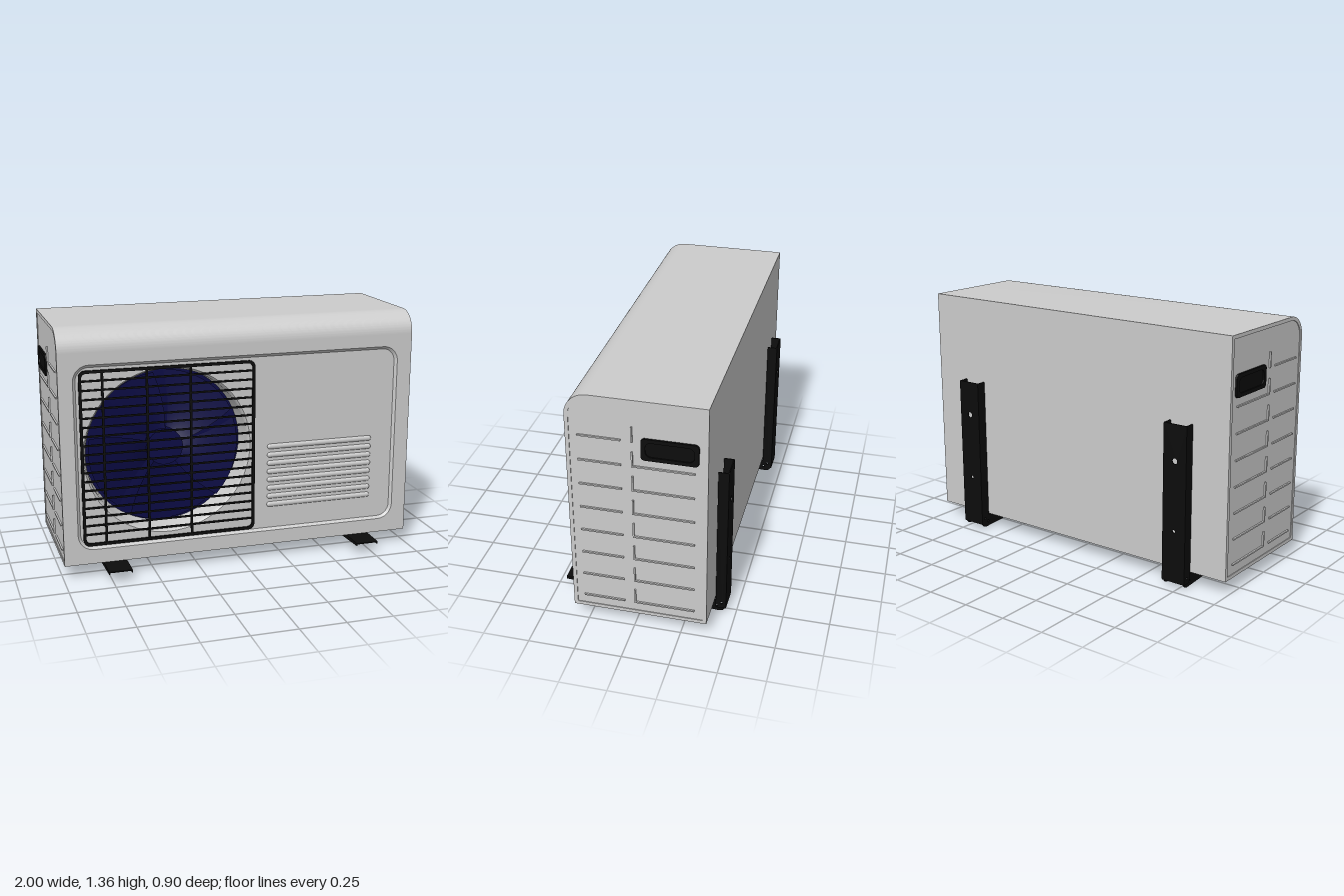
import * as THREE from 'three';
import { toCreasedNormals } from 'three/addons/utils/BufferGeometryUtils.js';

const paint = (name, color) => new THREE.MeshStandardMaterial({ name, color, side: THREE.DoubleSide });

// Rounded rectangle outline, as a Shape or Path
function roundRect(x0, y0, x1, y1, r, Type = THREE.Shape) {
  const s = new Type();
  s.absarc(x1 - r, y1 - r, r, 0, Math.PI / 2);
  s.absarc(x0 + r, y1 - r, r, Math.PI / 2, Math.PI);
  s.absarc(x0 + r, y0 + r, r, Math.PI, Math.PI * 1.5);
  s.absarc(x1 - r, y0 + r, r, Math.PI * 1.5, Math.PI * 2);
  s.closePath();
  return s;
}

const circle = (x, y, r) => new THREE.Path().absarc(x, y, r, 0, Math.PI * 2);

// Extrude along z from z0 by depth
function slab(shape, depth, z0 = 0, curveSegments = 8) {
  return new THREE.ExtrudeGeometry(shape, { depth, bevelEnabled: false, curveSegments }).translate(0, 0, z0);
}

// Extrude a (z, y) outline along x, centred on x
function sideSlab(shape, width, x = 0) {
  const g = slab(shape, width, -width / 2, 16).rotateY(-Math.PI / 2).translate(x, 0, 0);
  return toCreasedNormals(g, 0.5);
}

// Slanted band between two outlines with the same number of points
function bevelBand(outer, zo, inner, zi) {
  const a = outer.getPoints(8), b = inner.getPoints(8), pos = [], idx = [];
  a.forEach((p, i) => {
    pos.push(p.x, p.y, zo, b[i].x, b[i].y, zi);
    const j = (i + 1) % a.length;
    idx.push(2 * i, 2 * j, 2 * i + 1, 2 * j, 2 * j + 1, 2 * i + 1);
  });
  const g = new THREE.BufferGeometry();
  g.setAttribute('position', new THREE.Float32BufferAttribute(pos, 3));
  g.setIndex(idx);
  return toCreasedNormals(g, 0.6);
}

export function createModel() {
  const root = new THREE.Group();
  root.name = 'outdoorAirConditioner';
  const grey = paint('casingGrey', 0xcccccc);
  const black = paint('black', 0x0c0c0c);
  const blue = paint('fanBlue', 0x0b0b46);

  function group(name, parent = root) {
    const g = new THREE.Group();
    g.name = name;
    parent.add(g);
    return g;
  }
  function add(parent, name, geo, mat) {
    const m = new THREE.Mesh(geo, mat);
    m.name = name;
    parent.add(m);
    return m;
  }
  function box(parent, name, mat, x0, x1, y0, y1, z0, z1) {
    const g = new THREE.BoxGeometry(x1 - x0, y1 - y0, z1 - z0);
    return add(parent, name, g.translate((x0 + x1) / 2, (y0 + y1) / 2, (z0 + z1) / 2), mat);
  }

  // Casing: wrapped sheet with a rounded top front edge
  const W = 0.993, front = 0.33, back = -0.385, low = 0.08, high = 1.36, R = 0.12, T = 0.02;
  const casing = group('casing');
  const wrap = new THREE.Shape();
  wrap.absarc(front - R, high - R, R, 0, Math.PI / 2);
  wrap.lineTo(back, high).lineTo(back, low).lineTo(front, low).lineTo(front, low + T);
  wrap.lineTo(back + T, low + T).lineTo(back + T, high - T);
  wrap.absarc(front - R, high - R, R - T, Math.PI / 2, 0, true);
  wrap.closePath();
  add(casing, 'cover', sideSlab(wrap, 2 * W), grey);

  const side = new THREE.Shape();
  side.absarc(front - R, high - R, R - 0.005, 0, Math.PI / 2);
  side.lineTo(back + 0.005, high - 0.005).lineTo(back + 0.005, low + 0.005).lineTo(front - 0.005, low + 0.005);
  side.closePath();

  // Front plate with a shallow recessed panel
  const panelZ = 0.318, fanX = -0.41, fanY = 0.675;
  const plate = new THREE.Shape([[-W, low], [W, low], [W, high - R], [-W, high - R]].map(p => new THREE.Vector2(...p)));
  plate.holes.push(roundRect(-0.915, 0.16, 0.91, 1.172, 0.085, THREE.Path));
  add(casing, 'frontPlate', slab(plate, T, front - T), grey);
  const panel = roundRect(-0.9, 0.175, 0.895, 1.157, 0.07);
  add(casing, 'recessEdge', bevelBand(roundRect(-0.915, 0.16, 0.91, 1.172, 0.085), front, panel, panelZ), grey);
  panel.holes.push(circle(fanX, fanY, 0.46));
  add(casing, 'frontPanel', new THREE.ShapeGeometry(panel, 32).translate(0, 0, panelZ), grey);

  // Raised louvres beside the fan
  const louvres = group('louvres');
  for (let i = 0; i < 8; i++) {
    const m = add(louvres, 'louvre', new THREE.CapsuleGeometry(0.015, 0.59, 6, 12).rotateZ(Math.PI / 2), grey);
    m.position.set(0.46, 0.312 + i * 0.048, panelZ);
    m.scale.z = 0.75;
  }

  // Fan shroud, backing disc, hub and blades
  const fan = group('fan');
  fan.position.set(fanX, fanY, 0);
  const shroud = [[0.46, panelZ], [0.453, 0.312], [0.446, 0.295], [0.436, 0.17]].map(p => new THREE.Vector2(...p));
  add(fan, 'shroud', new THREE.LatheGeometry(shroud, 64).rotateX(Math.PI / 2), grey);
  add(fan, 'fanBack', new THREE.CircleGeometry(0.436, 64).translate(0, 0, 0.18), blue);
  add(fan, 'hub', new THREE.CylinderGeometry(0.1, 0.1, 0.06, 32).rotateX(Math.PI / 2).translate(0, 0, 0.212), blue);
  for (let i = 0; i < 5; i++) {
    const g = new THREE.PlaneGeometry(1, 1, 8, 6), p = g.attributes.position;
    for (let k = 0; k < p.count; k++) {
      const u = p.getX(k) + 0.5, r = 0.09 + (p.getY(k) + 0.5) * 0.33;
      const a = 1.3 + i * Math.PI * 0.4 - u * 1.1 + r * 0.6;
      p.setXYZ(k, r * Math.cos(a), r * Math.sin(a), 0.187 + 0.045 * u);
    }
    g.computeVertexNormals();
    add(fan, 'blade', g, blue);
  }

  // Fan grille
  const grille = group('grille');
  const rim = roundRect(-0.885, 0.18, 0.075, 1.142, 0.035);
  rim.holes.push(roundRect(-0.87, 0.195, 0.06, 1.127, 0.025, THREE.Path));
  add(grille, 'grilleFrame', slab(rim, 0.01, panelZ + 0.002), black);
  for (let i = 1; i <= 18; i++) {
    const y = 1.135 - i * 0.0495;
    box(grille, 'grilleBar', black, -0.875, 0.065, y - 0.005, y + 0.005, 0.32, 0.327);
  }
  for (const x of [-0.76, -0.523, -0.285]) box(grille, 'grilleUpright', black, x - 0.006, x + 0.006, 0.19, 1.13, 0.32, 0.329);

  // Side panels with pressed ribs and a handle, mirrored
  for (const s of [-1, 1]) {
    const g = group(s > 0 ? 'leftSide' : 'rightSide');
    add(g, 'sidePanel', sideSlab(side, T, s * (W - 0.004 - T / 2)), grey);
    const rib = (y0, y1, z0, z1) => box(g, 'sideRib', grey, s * W - 0.006, s * W + 0.006, y0, y1, z0, z1).scale.setX(0.999);
    for (let i = 0; i < 8; i++) {
      const y = 0.15 + i * 0.14;
      rib(y, y + 0.008, 0.05, 0.27);
      if (y < 1) rib(y, y + 0.008, -0.32, -0.01);
      rib(y, y + 0.085, -0.01, -0.002);
    }
    const ring = roundRect(-0.34, 1.04, -0.052, 1.16, 0.02);
    ring.holes.push(roundRect(-0.318, 1.06, -0.074, 1.14, 0.03, THREE.Path));
    add(g, 'handleRim', sideSlab(ring, 0.012, s * 0.994), black);
    add(g, 'handlePocket', sideSlab(roundRect(-0.33, 1.05, -0.06, 1.15, 0.02), 0.004, s * 0.991), black);
  }

  // Pressed ribs under the base
  const base = group('baseRibs');
  const pressing = (x, z, w, d) => {
    const r = Math.min(w, d) / 2 - 0.0005;
    const g = slab(roundRect(-w / 2, -d / 2, w / 2, d / 2, r), 0.006).rotateX(Math.PI / 2);
    add(base, 'baseRib', g.translate(x, low, z), grey);
  };
  for (const x of [-0.88, -0.44, 0, 0.44, 0.88]) pressing(x, -0.03, 0.035, 0.58);
  for (const x of [-0.66, -0.22, 0.22, 0.66]) for (const z of [-0.19, 0.13]) pressing(x, z, 0.26, 0.1);

  // Wall brackets: folded channels for post and arm
  const boltHoles = () => [circle(-0.395, 0.036, 0.007), circle(-0.42, 0.057, 0.007)];
  const armSide = new THREE.Shape();
  armSide.moveTo(0.45, 0.07).lineTo(0.45, 0.055).lineTo(-0.4, 0.002);
  armSide.quadraticCurveTo(-0.44, 0, -0.44, 0.035);
  armSide.lineTo(-0.44, 0.07).closePath();
  armSide.holes.push(...boltHoles());
  const postSide = roundRect(-0.445, 0.025, -0.39, 0.885, 0.004);
  postSide.holes.push(...boltHoles());
  for (const s of [-1, 1]) {
    const g = group(s > 0 ? 'leftBracket' : 'rightBracket');
    g.position.x = s * 0.712;
    const web = roundRect(-0.07, 0.025, 0.07, 0.885, 0.006);
    web.holes.push(circle(0, 0.69, 0.016), circle(0, 0.31, 0.009));
    add(g, 'postWeb', slab(web, 0.006, -0.446), black);
    box(g, 'armWeb', black, -0.064, 0.064, 0.064, 0.07, -0.385, 0.45);
    for (const e of [-1, 1]) {
      add(g, 'postFlange', sideSlab(postSide, 0.006, e * 0.067), black);
      add(g, 'armFlange', sideSlab(armSide, 0.005, e * 0.0615), black);
    }
  }
  return root;
}
